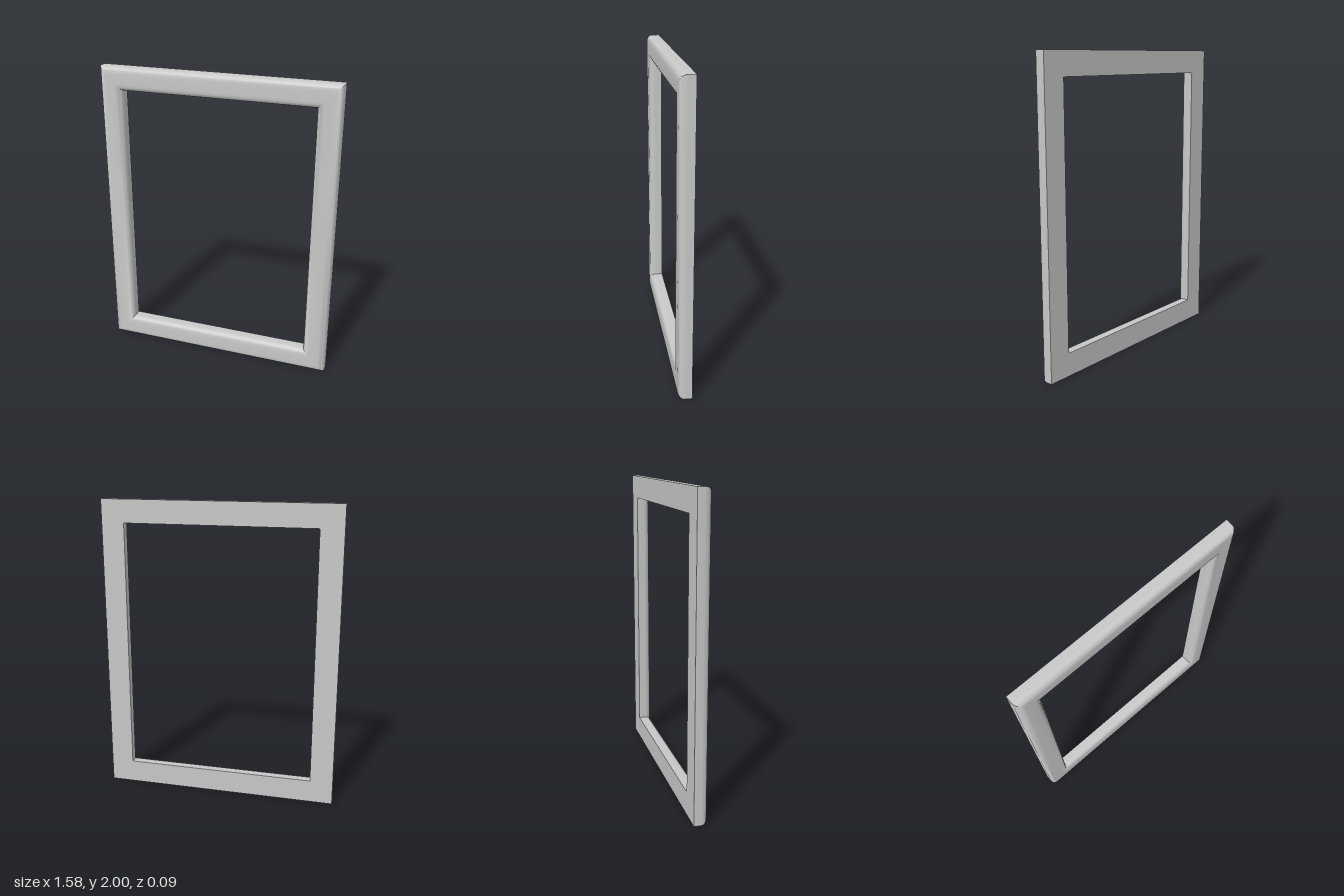
import * as THREE from 'three';
import { toCreasedNormals } from 'three/addons/utils/BufferGeometryUtils.js';

const HALF_WIDTH = 0.79, HEIGHT = 2, RAIL = 0.153, BACK = -0.045, FRONT = 0.045;

// Rail cross-section as [inset from the outer edge, z]: flat back, rounded front shoulders
function railProfile() {
  const rx = 0.045, rz = 0.042, steps = 8, points = [[0, BACK]];
  for (let i = 0; i <= steps; i++) {
    const a = (i / steps) * Math.PI / 2;
    points.push([rx * (1 - Math.cos(a)), FRONT - rz * (1 - Math.sin(a))]);
  }
  const mirrored = points.map(([t, z]) => [RAIL - t, z]).reverse();
  return [...points, ...mirrored];
}

// Carry the profile round the four mitred corners
function frameGeometry() {
  const profile = railProfile(), n = profile.length;
  const corners = [[-1, -1], [1, -1], [1, 1], [-1, 1]];
  const positions = [], index = [];
  for (const [sx, sy] of corners) {
    for (const [t, z] of profile) {
      positions.push(sx * (HALF_WIDTH - t), HEIGHT / 2 + sy * (HEIGHT / 2 - t), z);
    }
  }
  for (let i = 0; i < 4; i++) {
    for (let j = 0; j < n; j++) {
      const next = ((i + 1) % 4) * n, k = (j + 1) % n;
      const a = i * n + j, b = next + j, c = next + k, d = i * n + k;
      index.push(a, b, c, a, c, d);
    }
  }
  const geometry = new THREE.BufferGeometry();
  geometry.setAttribute('position', new THREE.Float32BufferAttribute(positions, 3));
  geometry.setIndex(index);
  return toCreasedNormals(geometry, 0.8);
}

export function createModel() {
  const group = new THREE.Group();
  group.name = 'pictureFrame';
  const grey = new THREE.MeshStandardMaterial({ color: 0xc8c8c8 });
  grey.name = 'frame grey';
  const frame = new THREE.Mesh(frameGeometry(), grey);
  frame.name = 'frame';
  group.add(frame);
  return group;
}
